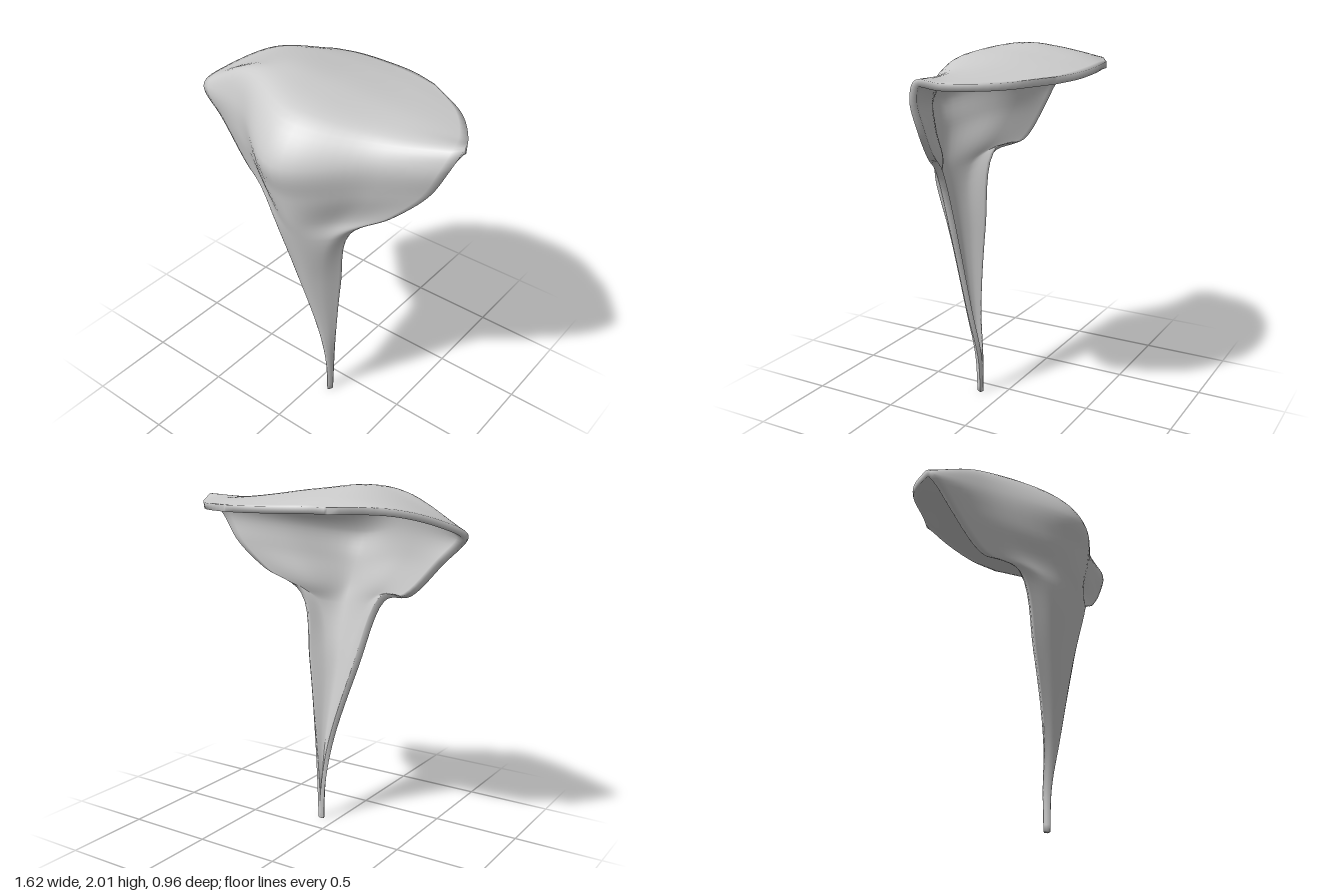
import * as THREE from 'three';

// Cross-sections of the canopy, from the back rim over the top and down the front.
// Each one runs from the right edge (-x) to the left edge (+x).
const canopyRows = [
  [[-0.31, 1.92, -0.43], [-0.17, 1.92, -0.465], [0, 1.915, -0.48], [0.17, 1.91, -0.475], [0.33, 1.905, -0.435]],
  [[-0.6, 1.91, -0.26], [-0.3, 1.965, -0.27], [0, 1.95, -0.28], [0.3, 1.925, -0.27], [0.6, 1.895, -0.27]],
  [[-0.75, 1.84, -0.03], [-0.33, 2.0, 0.02], [0, 1.98, 0.04], [0.4, 1.925, 0], [0.765, 1.9, -0.06]],
  [[-0.81, 1.78, 0.09], [-0.45, 1.955, 0.14], [0, 1.935, 0.31], [0.42, 1.885, 0.17], [0.81, 1.915, 0.05]],
  [[-0.8, 1.74, 0.12], [-0.45, 1.8, 0.21], [0, 1.72, 0.475], [0.43, 1.77, 0.25], [0.775, 1.81, 0.11]],
  [[-0.67, 1.61, 0.13], [-0.4, 1.62, 0.24], [0.03, 1.55, 0.45], [0.4, 1.6, 0.26], [0.69, 1.65, 0.13]],
  [[-0.46, 1.41, 0.17], [-0.25, 1.44, 0.28], [0.06, 1.4, 0.425], [0.3, 1.42, 0.28], [0.52, 1.48, 0.19]],
  [[-0.25, 1.35, 0.25], [-0.11, 1.3, 0.345], [0.08, 1.28, 0.395], [0.24, 1.3, 0.33], [0.325, 1.34, 0.26]],
];

// Stem stations: height, right x, left x, ridge z, edge z.
const stemStations = [
  [0.95, -0.1, 0.243, 0.318, 0.225],
  [0.5, 0.035, 0.17, 0.218, 0.175],
  [0.22, 0.07, 0.127, 0.17, 0.135],
  [0, 0.078, 0.115, 0.16, 0.13],
];

// A stem section is an open channel with its ridge at the front.
function stemRow([y, x0, x1, ridge, edge]) {
  return [0, 0.25, 0.5, 0.75, 1].map((t) => [
    x0 + (x1 - x0) * t, y, edge + (ridge - edge) * Math.sin(Math.PI * t),
  ]);
}

const smooth = (pts) => new THREE.CatmullRomCurve3(pts, false, 'centripetal');

// Lofts the sections into a sheet, then gives it thickness along its normals.
function shellGeometry(rows, across, along, thickness) {
  const rails = [0, 1, 2, 3, 4].map((k) => smooth(rows.map((r) => new THREE.Vector3(...r[k]))));
  const width = across + 1;
  const count = width * (along + 1);
  const positions = [];
  for (let i = 0; i <= along; i++) {
    const section = smooth(rails.map((rail) => rail.getPoint(i / along)));
    for (let j = 0; j <= across; j++) positions.push(...section.getPoint(j / across).toArray());
  }

  const outer = [];
  for (let i = 0; i < along; i++) {
    for (let j = 0; j < across; j++) {
      const a = i * width + j, b = a + 1, c = a + width, d = c + 1;
      outer.push(a, c, b, b, c, d);
    }
  }
  const sheet = new THREE.BufferGeometry();
  sheet.setAttribute('position', new THREE.Float32BufferAttribute(positions, 3));
  sheet.setIndex(outer);
  sheet.computeVertexNormals();
  const normals = sheet.attributes.normal;

  // Inner skin, thinner towards the foot, which stays level with the ground
  for (let v = 0; v < count; v++) {
    const y = positions[v * 3 + 1];
    const t = thickness * Math.min(1, 0.6 + 0.4 * y);
    positions.push(
      positions[v * 3] - normals.getX(v) * t,
      Math.max(0, y - (v >= count - width ? 0 : normals.getY(v) * t)),
      positions[v * 3 + 2] - normals.getZ(v) * t,
    );
  }
  const index = [...outer];
  for (let k = 0; k < outer.length; k += 3) {
    index.push(outer[k] + count, outer[k + 2] + count, outer[k + 1] + count);
  }

  // Rim joining both skins all the way round
  const loop = [];
  for (let i = 0; i < along; i++) loop.push(i * width);
  for (let j = 0; j < across; j++) loop.push(along * width + j);
  for (let i = along; i > 0; i--) loop.push(i * width + across);
  for (let j = across; j > 0; j--) loop.push(j);
  loop.forEach((p, k) => {
    const q = loop[(k + 1) % loop.length];
    index.push(p, p + count, q, q, p + count, q + count);
  });

  const geometry = new THREE.BufferGeometry();
  geometry.setAttribute('position', new THREE.Float32BufferAttribute(positions, 3));
  geometry.setIndex(index);
  geometry.computeVertexNormals();
  return geometry;
}

export function createModel() {
  const group = new THREE.Group();
  group.name = 'hoodedShell';
  const material = new THREE.MeshStandardMaterial({ color: 0xcccccc, side: THREE.DoubleSide });
  const rows = [...canopyRows, ...stemStations.map(stemRow)];
  const shell = new THREE.Mesh(shellGeometry(rows, 32, 66, 0.036), material);
  shell.name = 'canopyAndStem';
  group.add(shell);
  return group;
}
